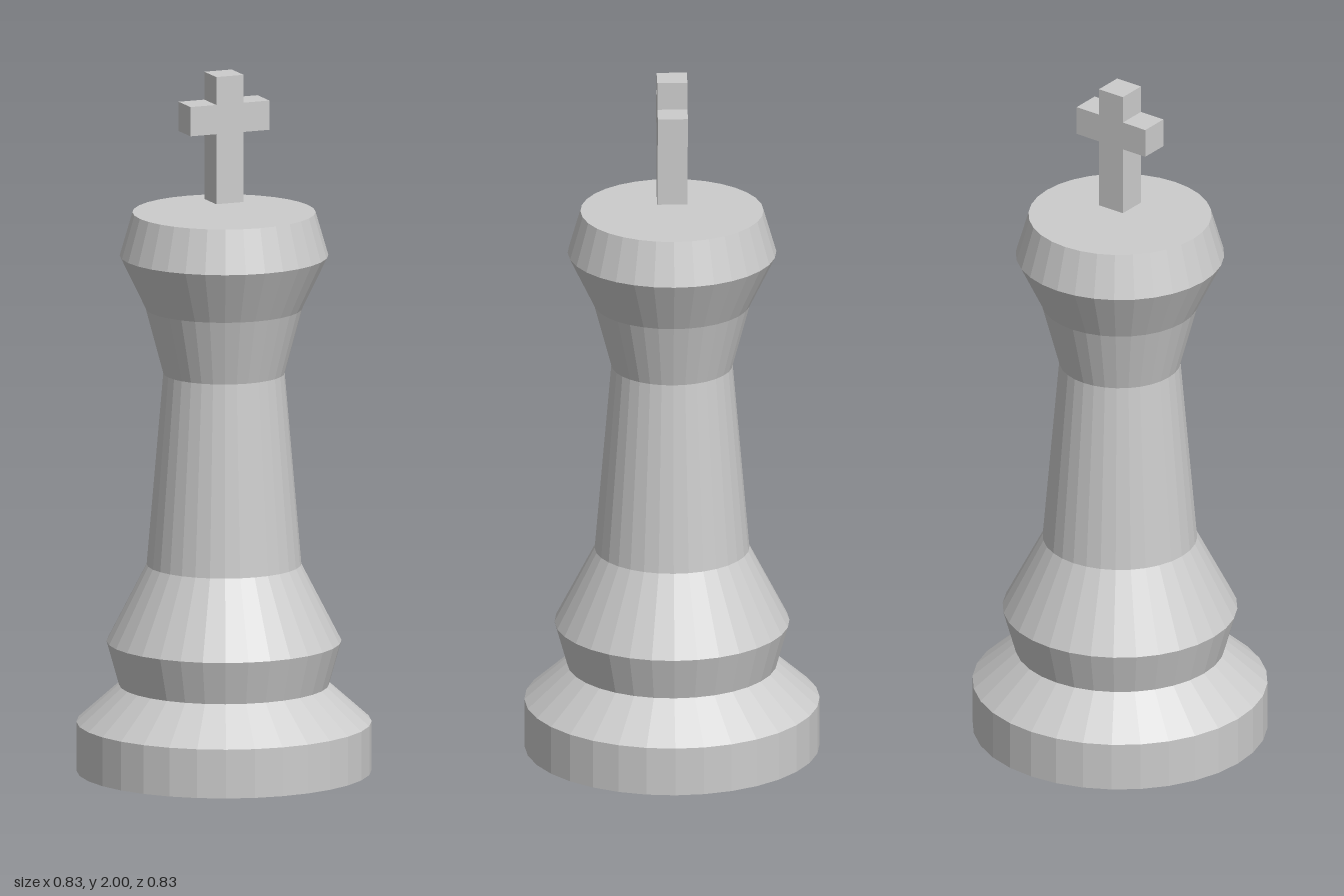
import * as THREE from 'three';

const SEGMENTS = 32;

// Turned body: [radius, height] from the bottom centre to the top centre
const PROFILE = [
  [0, 0], [0.416, 0], [0.416, 0.14], [0.296, 0.247], [0.331, 0.372],
  [0.218, 0.592], [0.171, 1.14], [0.221, 1.327], [0.294, 1.478],
  [0.258, 1.602], [0, 1.602],
];

// Upright cross outline, mirrored about x = 0
function crossShape() {
  const half = [
    [0.042, 1.635], [0.042, 1.836], [0.121, 1.836],
    [0.121, 1.92], [0.042, 1.92], [0.042, 2],
  ];
  const mirrored = half.map(([x, y]) => [-x, y]).reverse();
  return new THREE.Shape([...half, ...mirrored].map(([x, y]) => new THREE.Vector2(x, y)));
}

export function createModel() {
  const group = new THREE.Group();
  group.name = 'chessKing';

  const grey = new THREE.MeshStandardMaterial({ color: 0xcccccc, flatShading: true });
  grey.name = 'light grey';

  // Body with foot, collar, stem and crown
  const points = PROFILE.map(([r, y]) => new THREE.Vector2(r, y));
  const body = new THREE.Mesh(new THREE.LatheGeometry(points, SEGMENTS), grey);
  body.name = 'body';
  group.add(body);

  // Cross floating just above the crown
  const depth = 0.085;
  const crossGeometry = new THREE.ExtrudeGeometry(crossShape(), { depth, bevelEnabled: false });
  crossGeometry.translate(0, 0, -depth / 2);
  const cross = new THREE.Mesh(crossGeometry, grey);
  cross.name = 'cross';
  group.add(cross);

  return group;
}
